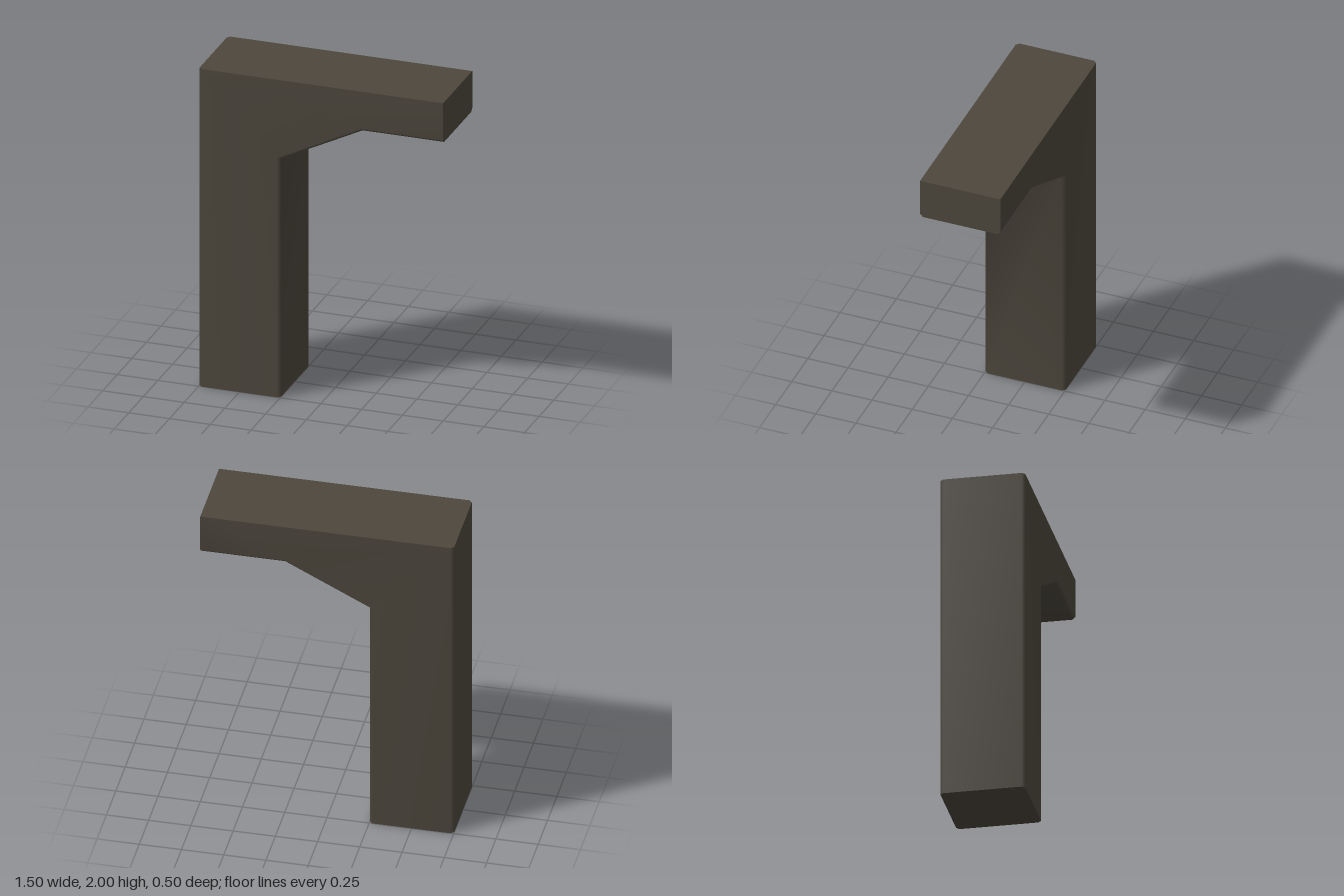
import * as THREE from 'three';

const D = 0.25; // half depth
const C = 0.018; // bevel size

// Four points across the depth: front face edge, bevel, bevel, back face edge.
const row = (x, y, nx, ny) => [
  [x + nx * C, y + ny * C, D],
  [x, y, D - C],
  [x, y, -D + C],
  [x + nx * C, y + ny * C, -D],
];

function makeGeometry(points, index) {
  const g = new THREE.BufferGeometry();
  g.setAttribute('position', new THREE.Float32BufferAttribute(points.flat(), 3));
  g.setIndex(index);
  g.computeVertexNormals();
  return g;
}

// Flat convex end face.
function makeCap(points) {
  const index = [];
  for (let i = 1; i < points.length - 1; i++) index.push(0, i, i + 1);
  return makeGeometry(points, index);
}

export function createModel() {
  const group = new THREE.Group();
  const material = new THREE.MeshStandardMaterial({ color: 0x4d473d });
  material.name = 'dark brown';
  const add = (name, geometry) => {
    const mesh = new THREE.Mesh(geometry, material);
    mesh.name = name;
    group.add(mesh);
  };

  // Underside path: up the post, along the brace, out under the arm.
  const inner = [
    row(-0.25, 0, -1, 0),
    row(-0.25, 1.5, -1, 0.618),
    row(0.25, 1.75, -0.236, 1),
    row(0.75, 1.75, 0, 1),
  ];
  // Outer side of the post, from top to bottom.
  const outer = [row(-0.75, 2, 1, 0), row(-0.75, 0, 1, 0)];
  const tip = [[0.75, 2, D], [0.75, 2, -D]];

  // Smooth shell: bevelled sides share their vertices with the front and back.
  const points = [...inner.flat(), ...outer.flat(), ...tip];
  const index = [];
  for (const [start, count] of [[0, 4], [16, 2]]) {
    for (let s = 0; s < count - 1; s++) {
      for (let k = 0; k < 3; k++) {
        const a = start + s * 4 + k;
        const b = a + 4;
        index.push(a, a + 1, b + 1, a, b + 1, b);
      }
    }
  }
  const front = [0, 4, 8, 12, 24, 16, 20];
  const back = [3, 7, 11, 15, 25, 19, 23];
  const outline = front.map((i) => new THREE.Vector2(points[i][0], points[i][1]));
  for (const [a, b, c] of THREE.ShapeUtils.triangulateShape(outline, [])) {
    index.push(front[a], front[b], front[c], back[a], back[c], back[b]);
  }
  add('postAndArm', makeGeometry(points, index));

  // Flat faces closing the shell.
  add('postBase', makeCap([...outer[1], ...[...inner[0]].reverse()]));
  add('armEnd', makeCap([...inner[3], tip[1], tip[0]]));
  add('topFace', makeCap([...tip, ...[...outer[0]].reverse()]));

  return group;
}
